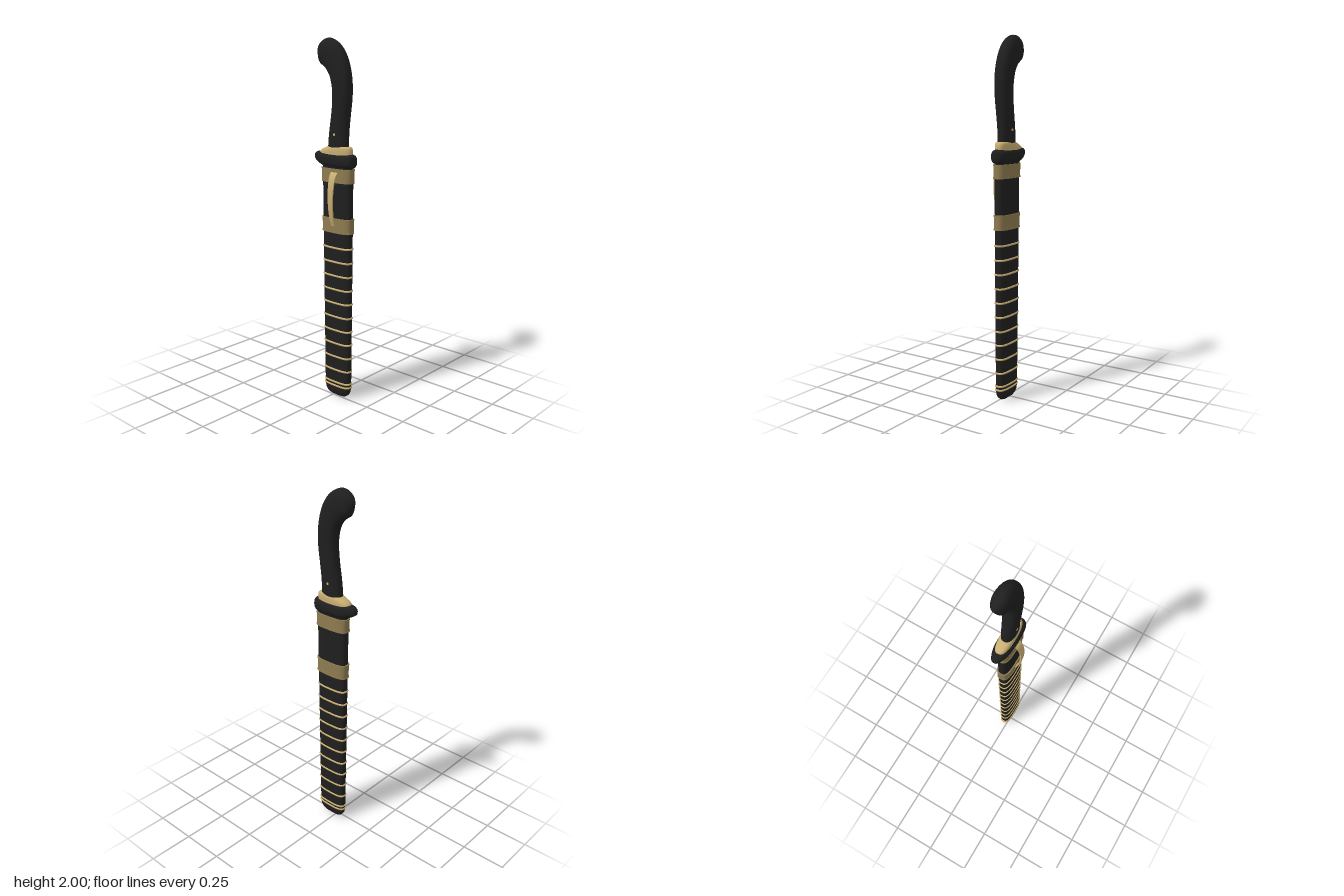
import * as THREE from 'three';

const Z0 = -0.0135; // the body sits slightly behind the clip

// Loft through sections [ax, ay, bx, by, halfDepth]; each is a rounded oval spanning a to b.
function loft(sections, power = 2.6, n = 40) {
  const pos = [], idx = [];
  const round = (v) => Math.sign(v) * Math.pow(Math.abs(v), 2 / power);
  const ring = ([ax, ay, bx, by, d]) => {
    for (let i = 0; i < n; i++) {
      const t = (i / n) * Math.PI * 2, u = round(Math.cos(t)) / 2;
      pos.push((ax + bx) / 2 + u * (bx - ax), (ay + by) / 2 + u * (by - ay), Z0 + d * round(Math.sin(t)));
    }
  };
  sections.forEach(ring);
  for (let s = 0; s < sections.length - 1; s++) {
    for (let i = 0; i < n; i++) {
      const a = s * n + i, b = s * n + (i + 1) % n;
      idx.push(a, a + n, b, b, a + n, b + n);
    }
  }
  // flat end caps with their own vertices
  [sections[0], sections[sections.length - 1]].forEach((s, end) => {
    const base = pos.length / 3;
    ring(s);
    pos.push((s[0] + s[2]) / 2, (s[1] + s[3]) / 2, Z0);
    for (let i = 0; i < n; i++) {
      const a = base + i, b = base + (i + 1) % n;
      if (end) idx.push(base + n, b, a); else idx.push(base + n, a, b);
    }
  });
  const g = new THREE.BufferGeometry();
  g.setAttribute('position', new THREE.Float32BufferAttribute(pos, 3));
  g.setIndex(idx);
  g.computeVertexNormals();
  return g;
}

// Smooth a list of sections with a spline through every column.
function smooth(sections, count) {
  const a = new THREE.CatmullRomCurve3(sections.map((s) => new THREE.Vector3(s[0], s[1], s[4])));
  const b = new THREE.CatmullRomCurve3(sections.map((s) => new THREE.Vector3(s[2], s[3], 0)));
  return Array.from({ length: count + 1 }, (_, i) => {
    const p = a.getPoint(i / count), q = b.getPoint(i / count);
    return [p.x, p.y, q.x, q.y, p.z];
  });
}

// Sheath section at height y, grown outward by e.
function sheathAt(y, e = 0) {
  const k = y / 1.3;
  return [-0.061 - 0.016 * k - e, y, 0.114 + 0.006 * k + e, y, 0.03 + 0.005 * k + e];
}

export function createModel() {
  const model = new THREE.Group();
  const material = (name, color) => Object.assign(new THREE.MeshStandardMaterial({ color }), { name });
  const black = material('black', 0x1f1f1f);
  const brass = material('pale brass', 0xc8ae72);
  const bronze = material('dull bronze', 0x8e7b50);
  const add = (name, geometry, mat, parent = model) => {
    const m = new THREE.Mesh(geometry, mat);
    m.name = name;
    parent.add(m);
    return m;
  };

  // Sheath with a rounded tip
  add('sheath', loft([
    [0.0, 0, 0.056, 0, 0.006],
    [-0.03, 0.008, 0.084, 0.008, 0.017],
    [-0.047, 0.02, 0.1, 0.02, 0.024],
    [-0.057, 0.038, 0.11, 0.038, 0.029],
    sheathAt(0.065), sheathAt(0.5), sheathAt(0.95), sheathAt(1.33),
  ], 3), black);

  // Thin rings around the sheath
  const rings = new THREE.Group();
  rings.name = 'sheathRings';
  model.add(rings);
  for (const y of [0.068, 0.09, 0.165, 0.245, 0.325, 0.403, 0.483, 0.563, 0.642, 0.721, 0.8, 0.88]) {
    const profile = [[-0.006, -0.002], [-0.005, 0.003], [0, 0.005], [0.005, 0.003], [0.006, -0.002]];
    add('ring', loft(profile.map(([dy, e]) => sheathAt(y + dy, e)), 3), brass, rings);
  }

  // Broad bands with narrow raised rims
  for (const [y0, y1] of [[0.965, 1.047], [1.242, 1.318]]) {
    const band = new THREE.Group();
    band.name = 'sheathBand';
    model.add(band);
    add('bandBody', loft([sheathAt(y0, 0.005), sheathAt(y1, 0.005)], 3), bronze, band);
    for (const y of [y0, y1 - 0.008]) {
      add('bandRim', loft([sheathAt(y, 0.007), sheathAt(y + 0.008, 0.007)], 3), bronze, band);
    }
  }

  // Guard, drawn out to a blunt beak on one side
  add('guard', loft(smooth([
    [0.138, 1.345, 0.138, 1.378, 0.012],
    [0.132, 1.329, 0.132, 1.392, 0.028],
    [0.115, 1.32, 0.115, 1.398, 0.039],
    [0.07, 1.316, 0.07, 1.402, 0.046],
    [0, 1.317, 0, 1.404, 0.047],
    [-0.06, 1.322, -0.06, 1.404, 0.044],
    [-0.1, 1.336, -0.1, 1.403, 0.034],
    [-0.125, 1.349, -0.125, 1.397, 0.023],
    [-0.136, 1.357, -0.136, 1.39, 0.015],
    [-0.14, 1.365, -0.14, 1.382, 0.008],
  ], 30), 2.5), black);

  // Sloped collar between guard and grip
  add('collar', loft([
    [-0.1, 1.385, 0.118, 1.385, 0.037],
    [-0.1, 1.404, 0.118, 1.404, 0.038],
    [-0.085, 1.415, 0.117, 1.415, 0.038],
    [-0.06, 1.426, 0.114, 1.426, 0.037],
    [-0.04, 1.434, 0.108, 1.434, 0.034],
    [-0.03, 1.437, 0.1, 1.437, 0.03],
  ], 2.6), brass);

  // Curved grip ending in a hooked pommel
  add('grip', loft(smooth([
    [-0.041, 1.42, 0.088, 1.42, 0.035],
    [-0.031, 1.51, 0.09, 1.51, 0.037],
    [-0.014, 1.6, 0.097, 1.6, 0.041],
    [-0.005, 1.68, 0.106, 1.68, 0.043],
    [-0.007, 1.74, 0.108, 1.755, 0.044],
    [-0.024, 1.8, 0.097, 1.84, 0.044],
    [-0.053, 1.84, 0.068, 1.918, 0.044],
    [-0.077, 1.857, 0.02, 1.975, 0.044],
    [-0.091, 1.866, -0.04, 2.0, 0.042],
    [-0.097, 1.876, -0.085, 1.984, 0.034],
    [-0.108, 1.905, -0.106, 1.966, 0.02],
    [-0.121, 1.94, -0.12, 1.949, 0.004],
  ], 60), 2.4), black);

  // Rivet through the grip
  const rivet = add('rivet', new THREE.CylinderGeometry(0.007, 0.007, 0.078, 16), brass);
  rivet.rotation.x = Math.PI / 2;
  rivet.position.set(0.026, 1.5, Z0);

  // Bowed belt clip, swept as a tapering strip
  const clipPath = new THREE.CatmullRomCurve3([
    [0.02, 1.005, 0.026], [0.022, 1.05, 0.04], [0.026, 1.12, 0.053],
    [0.029, 1.19, 0.056], [0.031, 1.25, 0.049], [0.031, 1.285, 0.036], [0.031, 1.297, 0.025],
  ].map((p) => new THREE.Vector3(...p)));
  const clip = new THREE.BoxGeometry(1, 1, 0.007, 1, 24, 1);
  const p = clip.attributes.position;
  for (let i = 0; i < p.count; i++) {
    const t = p.getY(i) + 0.5, c = clipPath.getPoint(t), d = clipPath.getTangent(t);
    const width = 0.022 + 0.027 * t, off = p.getZ(i);
    p.setXYZ(i, c.x + p.getX(i) * width, c.y - d.z * off, c.z + d.y * off);
  }
  clip.computeVertexNormals();
  add('beltClip', clip, brass);

  return model;
}
